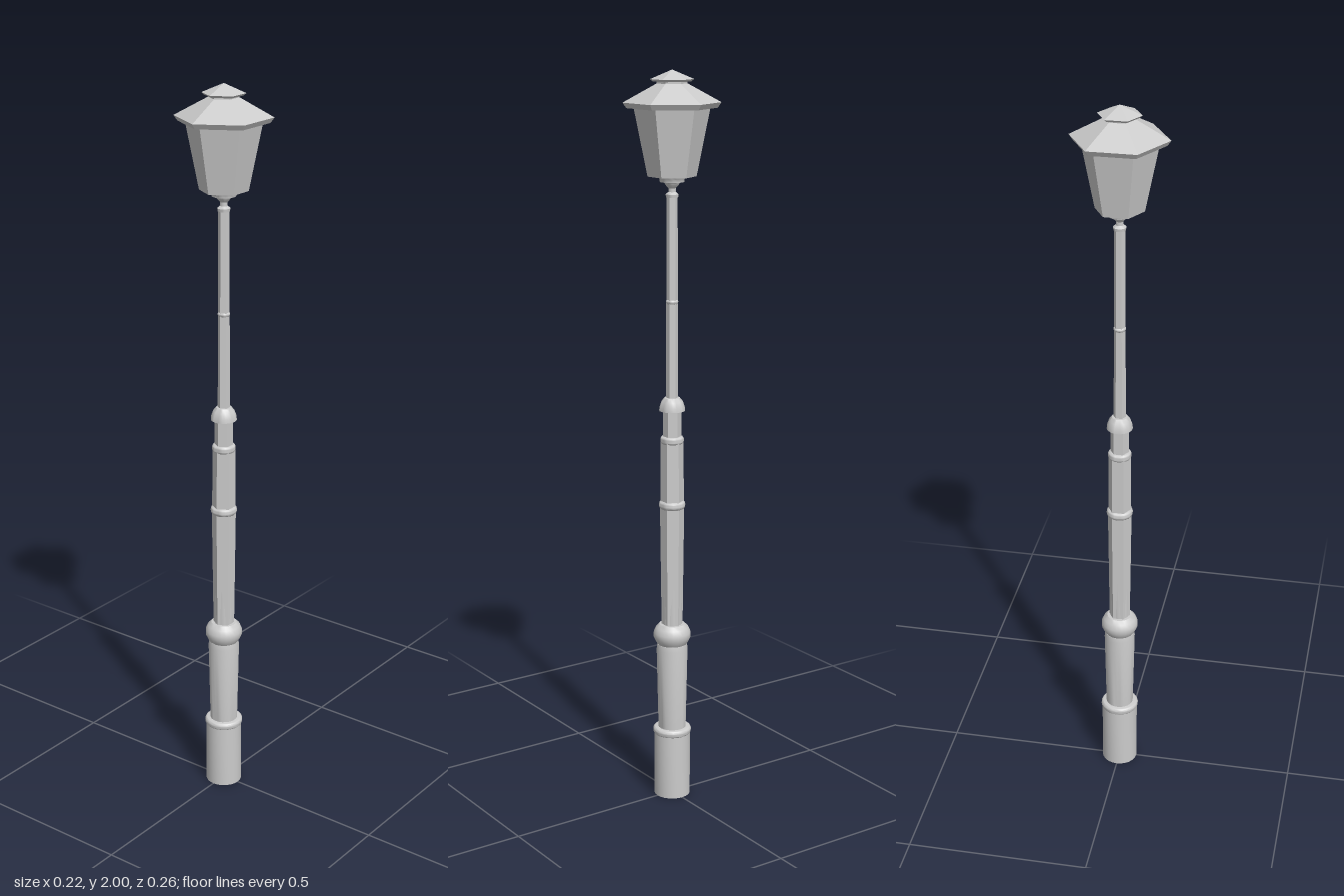
import * as THREE from 'three';
import { toCreasedNormals } from 'three/addons/utils/BufferGeometryUtils.js';

const smooth = new THREE.MeshStandardMaterial({ color: 0xcccccc, side: THREE.DoubleSide });
const flat = new THREE.MeshStandardMaterial({ color: 0xcccccc, side: THREE.DoubleSide, flatShading: true });

// Turned part from [radius, height] pairs; six sides gives a faceted part with corners on +z and -z
function turned(group, name, profile, sides = 24) {
  const lathe = new THREE.LatheGeometry(profile.map(([r, y]) => new THREE.Vector2(r, y)), sides);
  const hex = sides === 6;
  const mesh = new THREE.Mesh(hex ? lathe : toCreasedNormals(lathe, 0.6), hex ? flat : smooth);
  mesh.name = name;
  group.add(mesh);
}

// Rounded moulding ring between two heights
function ring(group, name, inner, outer, y0, y1) {
  const profile = [];
  for (let i = 0; i <= 8; i++) {
    const a = (i / 8) * Math.PI;
    profile.push([inner + (outer - inner) * Math.sin(a), (y0 + y1) / 2 - Math.cos(a) * (y1 - y0) / 2]);
  }
  turned(group, name, [[0, y0], ...profile, [0, y1]]);
}

export function createModel() {
  const model = new THREE.Group();
  model.name = 'streetLamp';

  // Round base
  const base = new THREE.Group();
  base.name = 'base';
  turned(base, 'foot', [[0, 0], [0.05, 0], [0.05, 0.185], [0, 0.185]]);
  ring(base, 'footRing', 0.047, 0.053, 0.18, 0.2);
  turned(base, 'pedestal', [[0.038, 0.195], [0.043, 0.43], [0.041, 0.445], [0, 0.445]]);
  turned(base, 'pedestalCollar', [[0, 0.44], [0.037, 0.44], [0.044, 0.45], [0.051, 0.465], [0.051, 0.478],
    [0.045, 0.492], [0.035, 0.502], [0, 0.502]]);

  // Six-sided shaft in stages
  const shaft = new THREE.Group();
  shaft.name = 'shaft';
  turned(shaft, 'lowerShaft', [[0.029, 0.5], [0.033, 0.835]], 6);
  turned(shaft, 'lowerShaftCore', [[0.0265, 0.5], [0.0265, 0.835]], 16);
  ring(shaft, 'middleRing', 0.029, 0.036, 0.832, 0.854);
  turned(shaft, 'middleShaft', [[0.032, 0.85], [0.031, 1.022], [0, 1.022]], 6);
  ring(shaft, 'upperRing', 0.026, 0.032, 1.014, 1.034);
  turned(shaft, 'neck', [[0.025, 1.03], [0.025, 1.108]], 6);
  turned(shaft, 'shaftCap', [[0, 1.105], [0.035, 1.105], [0.034, 1.115], [0.029, 1.13], [0.021, 1.14], [0, 1.142]]);
  turned(shaft, 'pole', [[0.0165, 1.138], [0.0155, 1.4], [0.0145, 1.678]], 6);
  ring(shaft, 'poleRing', 0.012, 0.0165, 1.393, 1.405);

  // Lantern support
  const support = new THREE.Group();
  support.name = 'lanternSupport';
  turned(support, 'supportStem', [[0, 1.674], [0.016, 1.674], [0.017, 1.682], [0.01, 1.688], [0.01, 1.698],
    [0.018, 1.707], [0.02, 1.712], [0.032, 1.714], [0.033, 1.722], [0.038, 1.729], [0, 1.729]]);

  // Six-sided lantern
  const lantern = new THREE.Group();
  lantern.name = 'lantern';
  turned(lantern, 'lanternBody', [[0, 1.728], [0.064, 1.728], [0.1, 1.907]], 6);
  turned(lantern, 'roof', [[0, 1.903], [0.118, 1.903], [0.128, 1.917], [0.04, 1.965], [0.04, 1.972]], 6);
  turned(lantern, 'roofCap', [[0, 1.97], [0.05, 1.97], [0.057, 1.976], [0, 2]], 6);

  model.add(base, shaft, support, lantern);
  return model;
}
